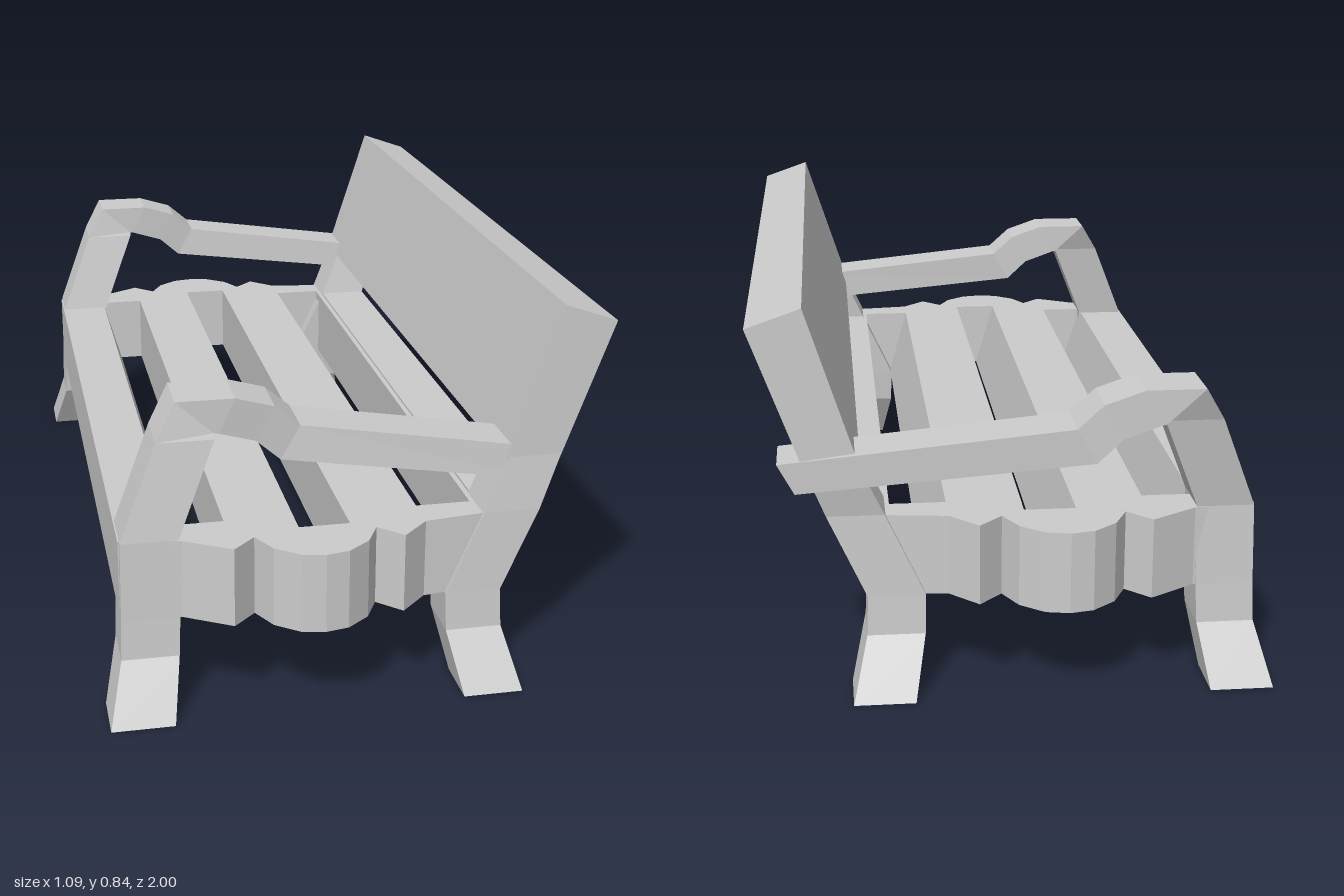
import * as THREE from 'three';

const material = new THREE.MeshStandardMaterial({ color: 0xcccccc, flatShading: true });

function addMesh(parent, name, geometry) {
  const mesh = new THREE.Mesh(geometry, material);
  mesh.name = name;
  parent.add(mesh);
  return mesh;
}

// Four-sided beam through stations [outerX, outerY, innerX, innerY, centreZ]
function beam(stations, width) {
  const h = width / 2;
  const rings = stations.map(([ox, oy, ix, iy, z]) => [
    [ox, oy, z + h], [ix, iy, z + h], [ix, iy, z - h], [ox, oy, z - h],
  ]);
  const pos = [];
  const quad = (a, b, c, d) => pos.push(...a, ...b, ...c, ...a, ...c, ...d);
  for (let k = 0; k < rings.length - 1; k++) {
    for (let i = 0; i < 4; i++) {
      const j = (i + 1) % 4;
      quad(rings[k][i], rings[k][j], rings[k + 1][j], rings[k + 1][i]);
    }
  }
  quad(...rings[0].slice().reverse());
  quad(...rings[rings.length - 1]);
  const geometry = new THREE.BufferGeometry();
  geometry.setAttribute('position', new THREE.Float32BufferAttribute(pos, 3));
  geometry.computeVertexNormals();
  return geometry;
}

// Side profile extruded along z
function board(points, z0, z1) {
  const shape = new THREE.Shape(points.map(([x, y]) => new THREE.Vector2(x, y)));
  const geometry = new THREE.ExtrudeGeometry(shape, { depth: z1 - z0, bevelEnabled: false });
  return geometry.translate(0, 0, z0);
}

// Seat slab with scalloped ends and three tapered slots
function seatGeometry() {
  const edge = [
    [-0.5, 0.86], [-0.38, 0.88], [-0.28, 0.94], [-0.23, 0.89], [-0.2, 0.95], [-0.15, 0.99],
    [-0.1, 1], [-0.05, 0.99], [0, 0.95], [0.03, 0.89], [0.08, 0.94], [0.14, 0.88], [0.3, 0.86],
  ];
  const outline = [...edge, ...edge.map(([x, z]) => [x, -z]).reverse()];
  const shape = new THREE.Shape(outline.map(([x, z]) => new THREE.Vector2(x, z)));
  const slots = [[-0.34, -0.28, 0.8], [-0.08, -0.02, 0.86], [0.19, 0.26, 0.8]];
  for (const [a, b, l] of slots) {
    shape.holes.push(new THREE.Path(
      [[a, -l], [b, -l], [b, l], [a, l]].map(([x, z]) => new THREE.Vector2(x, z))));
  }
  const geometry = new THREE.ExtrudeGeometry(shape, { depth: 0.175, bevelEnabled: false });
  geometry.rotateX(Math.PI / 2);
  // Widen each slot towards the top
  const p = geometry.attributes.position;
  for (let i = 0; i < p.count; i++) {
    if (p.getY(i) > -0.01 && slots.some(([a]) => Math.abs(p.getX(i) - a) < 1e-4)) {
      p.setX(i, p.getX(i) - 0.05);
    }
  }
  geometry.translate(0, 0.385, 0);
  geometry.computeVertexNormals();
  return geometry;
}

export function createModel() {
  const model = new THREE.Group();
  model.name = 'bench';

  addMesh(model, 'seat', seatGeometry());
  addMesh(model, 'frontRail', board(
    [[-0.51, 0.21], [-0.39, 0.21], [-0.39, 0.385], [-0.51, 0.385]], -0.86, 0.86));
  addMesh(model, 'rearRail', board(
    [[0.26, 0.21], [0.31, 0.21], [0.393, 0.39], [0.272, 0.39]], -0.86, 0.86));
  addMesh(model, 'backrest', board(
    [[0.32, 0.5], [0.435, 0.5], [0.545, 0.8], [0.43, 0.84]], -0.9, 0.865));

  for (const side of [1, -1]) {
    const end = new THREE.Group();
    end.name = side > 0 ? 'nearEnd' : 'farEnd';
    model.add(end);

    // Front leg bending over into the armrest; the arms lean the same way at both ends
    const arm = side > 0 ? [0.785, 0.755, 0.745, 0.74] : [-0.855, -0.885, -0.89, -0.895];
    const tail = side > 0
      ? [0.415, 0.523, 0.393, 0.452, 0.8]
      : [0.49, 0.515, 0.455, 0.45, -0.84];
    addMesh(end, 'frontLegAndArmrest', beam([
      [-0.545, 0, -0.41, 0, side * 0.9],
      [-0.513, 0.125, -0.39, 0.125, side * 0.828],
      [-0.51, 0.21, -0.386, 0.21, side * 0.822],
      [-0.507, 0.385, -0.385, 0.385, side * 0.815],
      [-0.425, 0.59, -0.303, 0.59, arm[0]],
      [-0.38, 0.665, -0.3, 0.592, arm[1]],
      [-0.255, 0.665, -0.29, 0.59, arm[1]],
      [-0.17, 0.638, -0.21, 0.564, arm[2]],
      [-0.115, 0.59, -0.157, 0.516, arm[3]],
      tail,
    ], 0.12));

    // Rear leg rising into the back post
    const post = side > 0 ? 0.805 : -0.838;
    addMesh(end, 'rearLeg', beam([
      [0.215, 0, 0.345, 0, side * 0.9],
      [0.19, 0.125, 0.313, 0.125, side * 0.828],
      [0.188, 0.21, 0.31, 0.21, side * 0.822],
      [0.272, 0.39, 0.393, 0.39, side * 0.815],
      [0.325, 0.51, 0.438, 0.51, post],
    ], 0.12));
  }
  return model;
}
